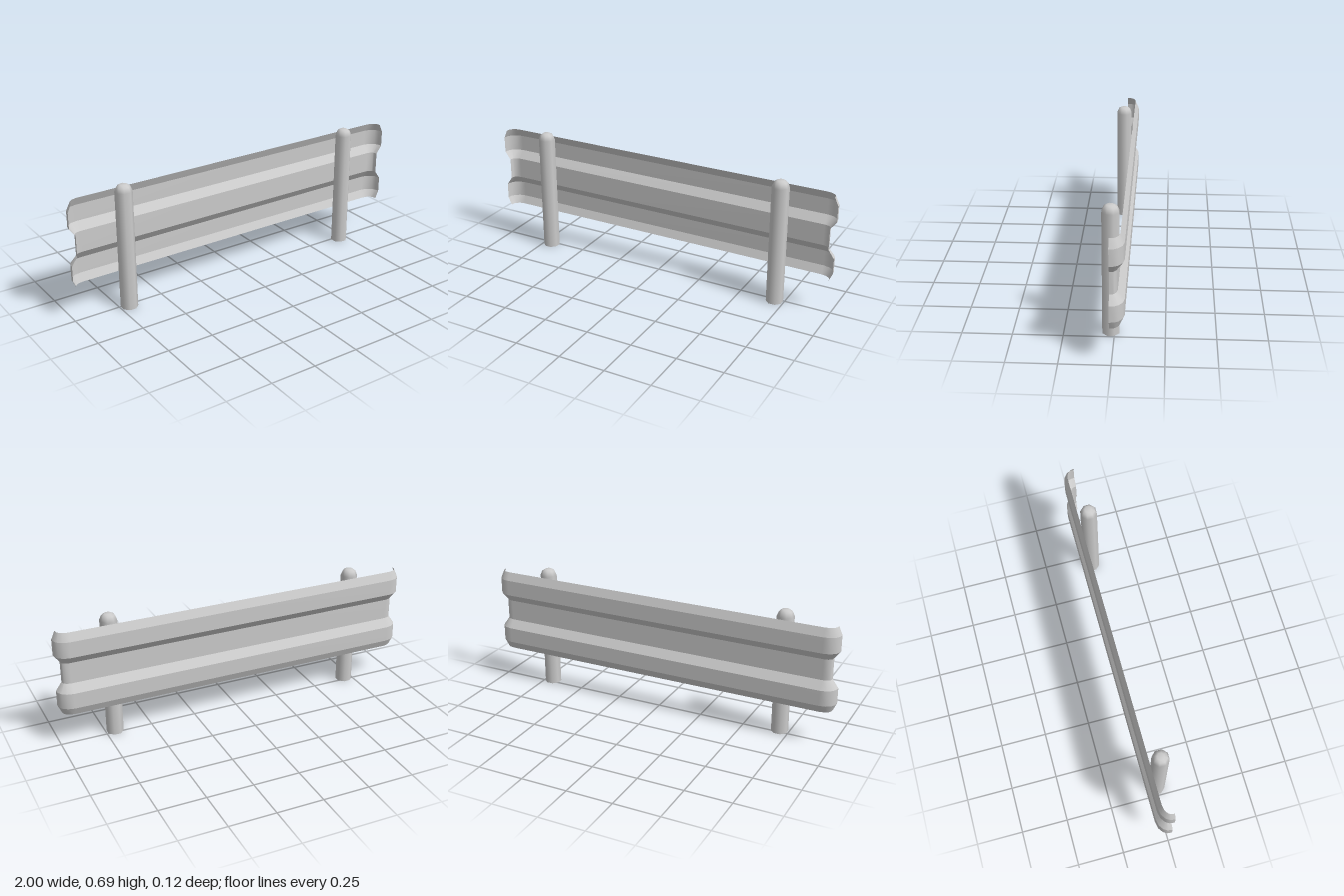
import * as THREE from 'three';
import { mergeGeometries } from 'three/addons/utils/BufferGeometryUtils.js';

const material = new THREE.MeshStandardMaterial({ color: 0xcccccc, side: THREE.DoubleSide });

// Corrugated profile, top to bottom: [height, inset from the outermost surface]
const profile = [
  [0.65, 0.02], [0.605, 0], [0.518, 0], [0.475, 0.032],
  [0.36, 0.032], [0.315, 0], [0.23, 0], [0.187, 0.02],
];

// Plan of one curled end: [x, z, inset direction angle in degrees]
const curl = [[0.925, -0.06, 90], [0.96, -0.053, 68], [0.985, -0.035, 40], [0.997, -0.015, 12], [1, 0.01, 0]];

function railPath() {
  const right = curl.map(([x, z, a]) => {
    const t = THREE.MathUtils.degToRad(a);
    return { x, z, nx: -Math.cos(t), nz: Math.sin(t) };
  });
  const left = right.map((p) => ({ ...p, x: -p.x, nx: -p.nx })).reverse();
  return [...left, ...right];
}

// One strip per profile segment: folds stay sharp, curled ends stay smooth
function railGeometry() {
  const path = railPath();
  const strips = [];
  for (let s = 0; s < profile.length - 1; s++) {
    const positions = [];
    const index = [];
    path.forEach((p, i) => {
      for (const [y, inset] of [profile[s], profile[s + 1]]) {
        positions.push(p.x + p.nx * inset, y, p.z + p.nz * inset);
      }
      if (i < path.length - 1) {
        const a = i * 2;
        index.push(a, a + 2, a + 1, a + 1, a + 2, a + 3);
      }
    });
    const strip = new THREE.BufferGeometry();
    strip.setAttribute('position', new THREE.Float32BufferAttribute(positions, 3));
    strip.setIndex(index);
    strip.computeVertexNormals();
    strips.push(strip);
  }
  return mergeGeometries(strips);
}

// Eight-sided hollow post with a rounded cap, open at the foot
function postGeometry() {
  const k = 1 / Math.cos(Math.PI / 8);
  const points = [[0.042, 0], [0.042, 0.652], [0.032, 0.677], [0.018, 0.687], [0, 0.687]]
    .map(([r, y]) => new THREE.Vector2(r * k, y));
  return new THREE.LatheGeometry(points, 8, Math.PI / 8);
}

export function createModel() {
  const model = new THREE.Group();
  model.name = 'guardRail';

  const rail = new THREE.Mesh(railGeometry(), material);
  rail.name = 'corrugatedRail';
  model.add(rail);

  const geometry = postGeometry();
  for (const side of [-1, 1]) {
    const post = new THREE.Mesh(geometry, material);
    post.name = side > 0 ? 'leftPost' : 'rightPost';
    post.position.set(side * 0.7, 0, 0.018);
    model.add(post);
  }
  return model;
}
